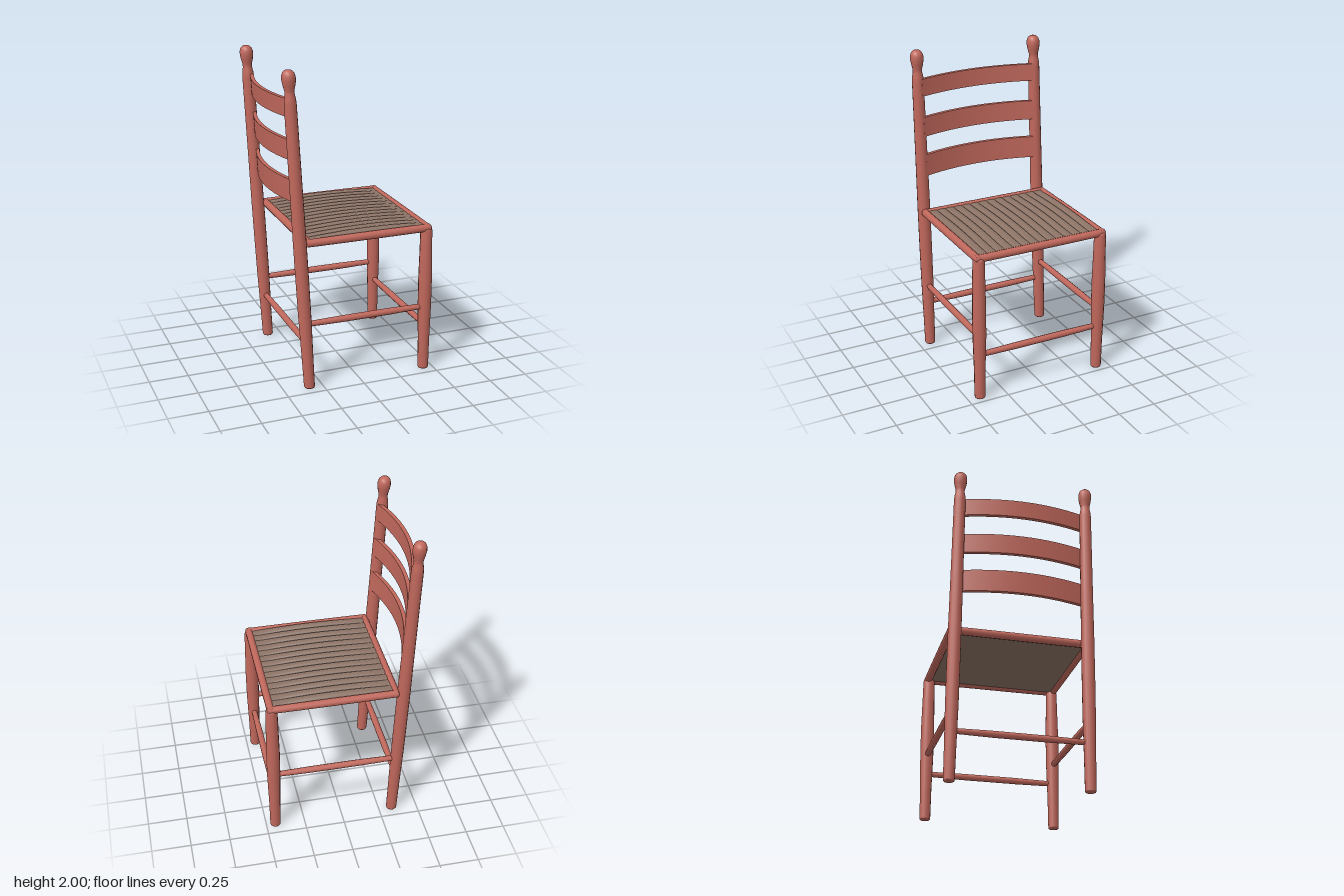
import * as THREE from 'three';

const wood = new THREE.MeshStandardMaterial({ color: 0xc1685c });
wood.name = 'red wood';
const rush = new THREE.MeshStandardMaterial({ color: 0x8c7366 });
rush.name = 'woven rush';

// Back posts lean backwards and slightly inwards as they rise
const postX = (y) => -0.335 - 0.055 * y;
const postZ = (y) => 0.42 - 0.006 * y;

function add(parent, name, geometry, material = wood) {
  const mesh = new THREE.Mesh(geometry, material);
  mesh.name = name;
  parent.add(mesh);
  return mesh;
}

// Turned piece from [radius, height] pairs
function turned(profile, sides = 12) {
  return new THREE.LatheGeometry(profile.map(([r, y]) => new THREE.Vector2(r, y)), sides);
}

// Round bar between two points, with given end and middle radii
function bar(parent, name, a, b, rEnd, rMid, sides = 10) {
  const from = new THREE.Vector3(...a), to = new THREE.Vector3(...b);
  const len = from.distanceTo(to);
  const mesh = add(parent, name, turned([
    [0, 0], [rEnd * 0.75, 0], [rEnd, 0.008], [rMid, len * 0.3], [rMid, len * 0.7],
    [rEnd, len - 0.008], [rEnd * 0.75, len], [0, len],
  ], sides));
  mesh.position.copy(from);
  mesh.quaternion.setFromUnitVectors(new THREE.Vector3(0, 1, 0), to.sub(from).normalize());
}

// Bowed back slat whose ends sit in the posts
function slatGeometry(y0, y1) {
  const h = y1 - y0, halfWidth = 0.395;
  const g = new THREE.BoxGeometry(0.025, h, halfWidth * 2, 1, 1, 20);
  const p = g.attributes.position;
  for (let i = 0; i < p.count; i++) {
    const y = (y0 + y1) / 2 + p.getY(i), t = p.getZ(i) / halfWidth;
    p.setXYZ(i, p.getX(i) + postX(y) - 0.044 + 0.066 * t * t, y, p.getZ(i));
  }
  g.computeVertexNormals();
  return g;
}

// One rounded strand of the seat, swelling towards its middle
function strandGeometry(x0, x1, width) {
  const len = x1 - x0;
  const g = new THREE.PlaneGeometry(len, width, 14, 8);
  g.rotateX(-Math.PI / 2);
  const p = g.attributes.position;
  for (let i = 0; i < p.count; i++) {
    const u = (2 * p.getX(i)) / len, t = (2 * p.getZ(i)) / width;
    const swell = 1 - u * u;
    const round = Math.sqrt(Math.max(0, 1 - t * t));
    p.setY(i, 0.962 + swell * (0.003 + 0.017 * round) + 0.003 * round);
  }
  g.computeVertexNormals();
  g.translate((x0 + x1) / 2, 0, 0);
  return g;
}

export function createModel() {
  const chair = new THREE.Group();
  chair.name = 'ladderBackChair';

  const legProfile = [
    [0, 0], [0.03, 0], [0.034, 0.006], [0.036, 0.2], [0.042, 0.42], [0.043, 0.6],
    [0.039, 0.8], [0.037, 0.935], [0.03, 0.955], [0, 0.955],
  ];
  const postProfile = [
    [0, 0], [0.03, 0], [0.034, 0.006], [0.036, 0.2], [0.04, 0.45], [0.041, 0.7],
    [0.041, 0.95], [0.039, 1.3], [0.037, 1.8], [0.035, 1.83], [0.029, 1.86], [0.029, 1.88],
    [0.037, 1.91], [0.042, 1.94], [0.041, 1.965], [0.034, 1.985], [0.02, 1.997], [0, 2],
  ];

  for (const s of [1, -1]) {
    const side = s > 0 ? 'A' : 'B';
    // Front leg
    add(chair, 'frontLeg' + side, turned(legProfile)).position.set(0.44, 0, s * 0.418);

    // Leaning back post with finial
    const post = turned(postProfile, 14);
    const p = post.attributes.position;
    for (let i = 0; i < p.count; i++) {
      const y = p.getY(i);
      p.setXYZ(i, p.getX(i) + postX(y), y, p.getZ(i) + s * postZ(y));
    }
    add(chair, 'backPost' + side, post);

    // Side rail and side stretcher
    bar(chair, 'sideRail' + side, [-0.35, 0.95, s * 0.426], [0.465, 0.95, s * 0.426], 0.024, 0.025);
    bar(chair, 'sideStretcher' + side, [postX(0.425), 0.425, s * 0.418], [0.44, 0.425, s * 0.418], 0.017, 0.021);
  }

  // Front and back rails and stretchers
  bar(chair, 'frontRail', [0.445, 0.95, -0.445], [0.445, 0.95, 0.445], 0.024, 0.025);
  bar(chair, 'backRail', [-0.335, 0.95, -0.435], [-0.335, 0.95, 0.435], 0.024, 0.025);
  bar(chair, 'frontStretcher', [0.44, 0.3, -0.418], [0.44, 0.3, 0.418], 0.017, 0.021);
  bar(chair, 'backStretcher', [postX(0.3), 0.3, -0.418], [postX(0.3), 0.3, 0.418], 0.017, 0.021);

  // Back slats
  [[1.19, 1.33], [1.45, 1.575], [1.71, 1.82]].forEach(([y0, y1], i) => {
    add(chair, 'backSlat' + (i + 1), slatGeometry(y0, y1));
  });

  // Woven seat: flat base with rounded strands on top
  const seat = new THREE.Group();
  seat.name = 'wovenSeat';
  chair.add(seat);
  add(seat, 'seatBase', new THREE.BoxGeometry(0.77, 0.022, 0.83), rush).position.set(0.055, 0.951, 0);
  const count = 14, pitch = 0.0585;
  const strand = strandGeometry(-0.325, 0.435, pitch);
  for (let i = 0; i < count; i++) {
    add(seat, 'seatStrand' + (i + 1), strand, rush).position.z = (i - (count - 1) / 2) * pitch;
  }

  return chair;
}
